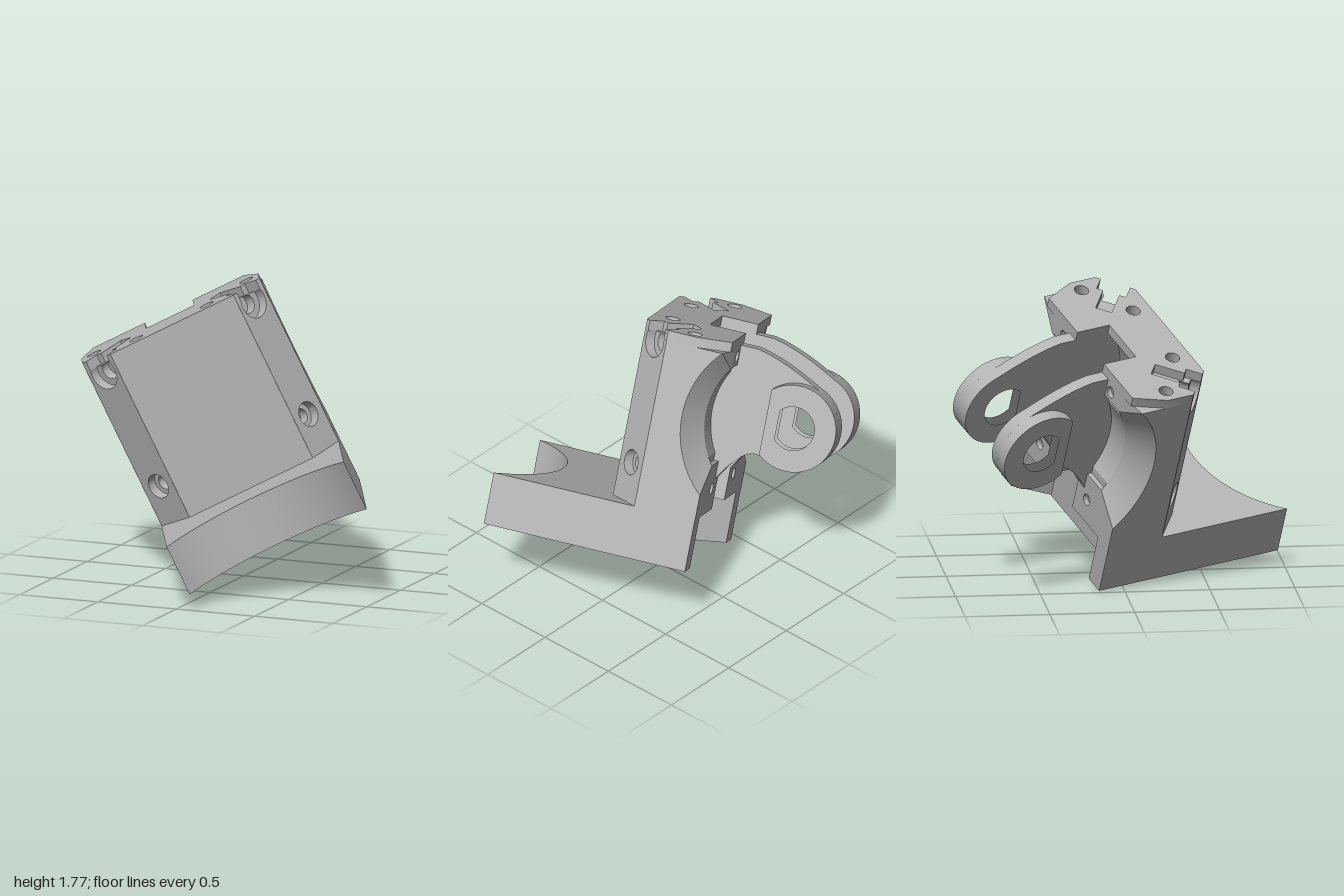
import * as THREE from 'three';
import { toCreasedNormals } from 'three/addons/utils/BufferGeometryUtils.js';

const metal = new THREE.MeshStandardMaterial({ color: 0xb2b2b2 });
metal.name = 'grey metal';

// Heights, and the hinge axis shared by the bore and the lugs
const BOTTOM = 0.175, FLANGE = 0.487, CAP = 1.5, TOP = 1.56;
const BORE_Y = 1.085, BORE_Z = -0.75, BACK = -0.346, HALF = 0.576;

function part(name, geometry, parent) {
  const m = new THREE.Mesh(toCreasedNormals(geometry, 0.5), metal);
  m.name = name;
  parent.add(m);
  return m;
}

function circle(x, y, r) {
  return new THREE.Path().absarc(x, y, r, 0, Math.PI * 2, true);
}

function extrude(shape, depth) {
  return new THREE.ExtrudeGeometry(shape, { depth, bevelEnabled: false, curveSegments: 24 });
}

// Right half of a plan (x, z), mirrored and raised from y0 to y1
function plan(half, y0, y1, holes = []) {
  const left = half.filter(p => p[0] > 0).map(p => [-p[0], p[1]]).reverse();
  const shape = new THREE.Shape([...half, ...left].map(p => new THREE.Vector2(p[0], -p[1])));
  holes.forEach(([x, z, r]) => shape.holes.push(circle(x, -z, r)));
  return extrude(shape, y1 - y0).rotateX(-Math.PI / 2).translate(0, y0, 0);
}

// Side profile (z, y) of a body slice with a round bite of radius r in its back
function biteProfile(r, front, back) {
  const low = Math.acos((back - BORE_Z) / r);
  const high = Math.min(low, Math.asin(Math.min(1, (CAP - BORE_Y) / r)));
  const arc = [];
  for (let i = 0; i <= 32; i++) {
    const t = high - (high + low) * i / 32;
    arc.push([BORE_Z + r * Math.cos(t), BORE_Y + r * Math.sin(t)]);
  }
  const corner = high < low ? arc[0] : [back, CAP];
  return [[front, FLANGE], [front, CAP], corner, ...arc, [back, FLANGE]];
}

// Loft a slice between two such profiles
function slice(x0, r0, x1, r1, front, back) {
  const a = biteProfile(r0, front, back).map(p => new THREE.Vector3(x0, p[1], p[0]));
  const b = biteProfile(r1, front, back).map(p => new THREE.Vector3(x1, p[1], p[0]));
  const v = [];
  const tri = (...ps) => ps.forEach(p => v.push(p.x, p.y, p.z));
  a.forEach((p, i) => {
    const j = (i + 1) % a.length;
    tri(p, b[i], b[j]);
    tri(p, b[j], a[j]);
  });
  const flat = ring => THREE.ShapeUtils.triangulateShape(ring.map(p => new THREE.Vector2(p.z, p.y)), []);
  flat(a).forEach(([i, j, k]) => tri(a[i], a[j], a[k]));
  flat(b).forEach(([i, j, k]) => tri(b[i], b[k], b[j]));
  const g = new THREE.BufferGeometry();
  g.setAttribute('position', new THREE.Float32BufferAttribute(v, 3));
  return g;
}

// Thin upright plate with one hole, facing the back
function pad(x0, x1, y0, y1, hx, hy, r, back) {
  const s = new THREE.Shape([[x0, y0], [x1, y0], [x1, y1], [x0, y1]].map(p => new THREE.Vector2(...p)));
  s.holes.push(circle(hx, hy, r));
  return extrude(s, 0.03).translate(0, 0, back);
}

function buildFlange(g) {
  const half = [];
  for (let i = 0; i <= 16; i++) {
    const x = HALF * i / 16;
    half.push([x, 1.318 - Math.sqrt(0.718 ** 2 - x * x)]);
  }
  half.push([HALF, -0.345], [0.455, -0.345], [0.285, -0.13]);
  part('flangeLower', plan(half, BOTTOM, 0.37, [[0, 0.375, 0.088]]), g);
  part('flangeUpper', plan(half, 0.37, FLANGE), g);
  part('recessFloor', pad(-0.3, 0.3, BOTTOM, FLANGE, 0, 0.41, 0.035, -0.16), g);
}

function buildBody(g) {
  // Front block, leaving room for the bevel plates and the middle slot
  part('frontBlock', plan([[0, 0.2], [0.4, 0.2], [0.315, 0.115], [0.491, -0.059], [HALF, 0.026],
    [HALF, -0.1], [0.155, -0.1], [0.155, 0.07]], FLANGE, CAP), g);
  // Top cap with screw holes, open grooves and the middle notch
  part('topCap', plan([[0, 0.2], [0.4, 0.2], [0.424, 0.177], [0.353, 0.106], [0.382, 0.077],
    [0.255, -0.05], [0.325, -0.12], [0.452, 0.007], [0.481, -0.021], [0.552, 0.049],
    [HALF, 0.026], [HALF, -0.15], [0.49, BACK], [0.155, BACK], [0.155, -0.125]], CAP, TOP,
    [[0.23, 0.084, 0.043], [-0.23, 0.084, 0.043], [0.495, -0.117, 0.043], [-0.495, -0.117, 0.043]]), g);
  // Back of the body: deep middle slot, bearing seats and flared ends
  part('middleSlot', slice(-0.155, 0.78, 0.155, 0.78, 0.07, -0.16), g);
  part('rightSeat', slice(0.155, 0.5, 0.39, 0.5, -0.1, BACK + 0.03), g);
  part('leftSeat', slice(-0.39, 0.5, -0.155, 0.5, -0.1, BACK + 0.03), g);
  part('rightFlare', slice(0.39, 0.5, HALF, 0.6, -0.1, BACK), g);
  part('leftFlare', slice(-HALF, 0.6, -0.39, 0.5, -0.1, BACK), g);
  for (const s of [-1, 1]) {
    const x0 = Math.min(s * 0.155, s * 0.39), x1 = Math.max(s * 0.155, s * 0.39);
    part('upperPad', pad(x0, x1, 1.38, CAP, s * 0.275, 1.438, 0.035, BACK), g);
    part('lowerPad', pad(x0, x1, FLANGE, 0.79, s * 0.275, 0.63, 0.035, BACK), g);
  }
}

// Bevelled front edges with stepped bolt holes; the upper one opens at the top
function buildBevel(side, g) {
  const bevel = new THREE.Group();
  bevel.name = side > 0 ? 'leftBevel' : 'rightBevel';
  bevel.position.set(side * 0.488, 0, 0.113);
  bevel.rotation.y = side * Math.PI / 4;
  const w = 0.1235;
  [[0.098, 0.075, -0.06], [0.058, 0.045, -0.12]].forEach(([upper, lower, z]) => {
    const s = new THREE.Shape();
    const t = Math.asin((CAP - 1.46) / upper);
    s.moveTo(-w, FLANGE);
    s.lineTo(w, FLANGE);
    s.lineTo(w, CAP);
    s.absarc(0, 1.46, upper, t, Math.PI - t, true);
    s.lineTo(-w, CAP);
    s.holes.push(circle(0, 0.72, lower));
    part('bevelPlate', extrude(s, 0.06).translate(0, 0, z), bevel);
  });
  g.add(bevel);
}

// Hinge arms: plate, flat-sided boss and D-shaped hole, drawn as (-z, y)
function buildArm(side, g) {
  const cx = 0.76, cy = 1.1, r = 0.26;
  const hole = () => new THREE.Path().absarc(cx, cy, 0.13, 2.4, -2.4, true).closePath();
  const plate = new THREE.Shape();
  plate.moveTo(0.13, 0.57);
  plate.lineTo(0.13, CAP);
  plate.lineTo(0.45, CAP);
  plate.quadraticCurveTo(0.62, 1.47, cx + r * Math.cos(1.2), cy + r * Math.sin(1.2));
  plate.absarc(cx, cy, r, 1.2, -1.9, true);
  plate.splineThru([[0.53, 0.88], [0.42, 0.79], [0.31, 0.64], [0.2, 0.57]].map(p => new THREE.Vector2(...p)));
  plate.closePath();
  const boss = new THREE.Shape();
  boss.absarc(cx, cy, r, 2.28, -2.28, true);
  boss.closePath();
  const arm = new THREE.Group();
  arm.name = side > 0 ? 'leftArm' : 'rightArm';
  [['armPlate', plate, 0.155], ['armBoss', boss, 0.228]].forEach(([name, shape, x]) => {
    shape.holes.push(hole());
    const start = side > 0 ? x : -x - 0.073;
    part(name, extrude(shape, 0.073).rotateY(Math.PI / 2).translate(start, 0, 0), arm);
  });
  g.add(arm);
}

export function createModel() {
  const bracket = new THREE.Group();
  bracket.name = 'hingeBracket';
  buildFlange(bracket);
  buildBody(bracket);
  for (const side of [-1, 1]) {
    buildBevel(side, bracket);
    buildArm(side, bracket);
  }
  // Tilt the whole bracket, then settle it on the ground
  const f = new THREE.Vector3(0.425, 0.07, 0.9).normalize();
  const u = f.clone().cross(new THREE.Vector3(0.8, 0.43, -0.42)).normalize();
  const r = u.clone().cross(f);
  bracket.quaternion.setFromRotationMatrix(new THREE.Matrix4().makeBasis(r, u, f));
  const model = new THREE.Group();
  model.name = 'bracketModel';
  model.add(bracket);
  model.updateMatrixWorld(true);
  const box = new THREE.Box3().setFromObject(model, true);
  const c = box.getCenter(new THREE.Vector3());
  bracket.position.set(-c.x, -box.min.y, -c.z);
  return model;
}
